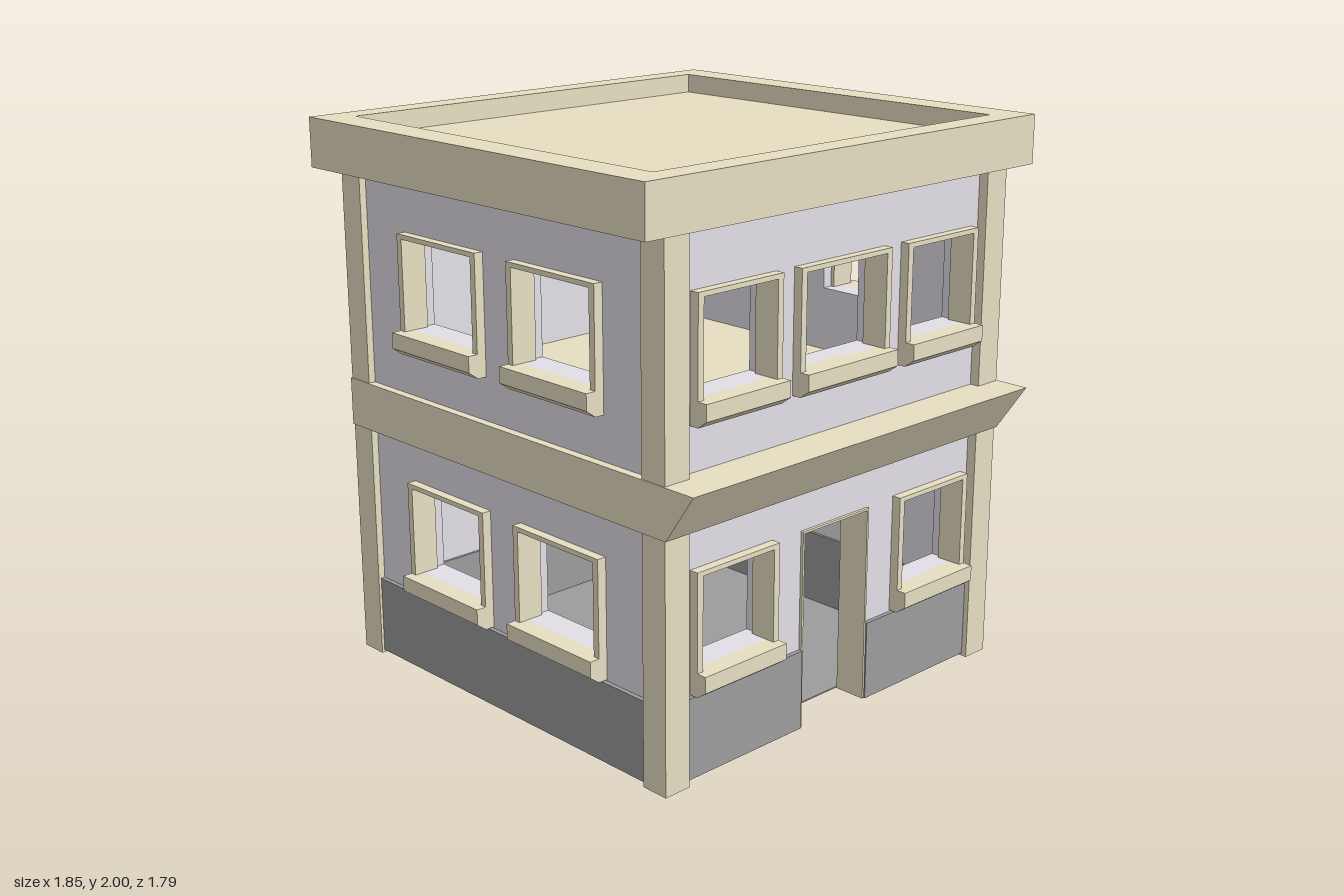
import * as THREE from 'three';

export function createModel() {
  const material = (name, color) => {
    const m = new THREE.MeshStandardMaterial({ color });
    m.name = name;
    return m;
  };
  const stone = material('sandstone trim', 0xe7dfc2);
  const plaster = material('lilac plaster', 0xe3dfe7);
  const grey = material('grey plinth', 0x9d9c9c);

  const model = new THREE.Group();
  model.name = 'building';

  const add = (parent, name, geometry, mat) => {
    const mesh = new THREE.Mesh(geometry, mat);
    mesh.name = name;
    parent.add(mesh);
    return mesh;
  };
  // Box given by its minimum and maximum along each axis
  const box = (parent, name, mat, x0, x1, y0, y1, z0, z1) => {
    const mesh = add(parent, name, new THREE.BoxGeometry(x1 - x0, y1 - y0, z1 - z0), mat);
    mesh.position.set((x0 + x1) / 2, (y0 + y1) / 2, (z0 + z1) / 2);
    return mesh;
  };
  const vectors = (points) => points.map(([x, y]) => new THREE.Vector2(x, y));
  const outline = (points) => new THREE.Shape(vectors(points));
  const hole = (points) => new THREE.Path(vectors(points));
  const rectangle = (x0, x1, y0, y1) => [[x0, y0], [x1, y0], [x1, y1], [x0, y1]];
  // Upright slab from z0 (back) to z1 (front)
  const slab = (shape, z0, z1) =>
    new THREE.ExtrudeGeometry(shape, { depth: z1 - z0, bevelEnabled: false }).translate(0, 0, z0);
  // (z, y) profile drawn out along x, centred
  const bar = (points, length) =>
    new THREE.ExtrudeGeometry(outline(points), { depth: length, bevelEnabled: false })
      .translate(0, 0, -length / 2).rotateY(-Math.PI / 2);

  const CZ = -0.052; // centre of the body in z
  const DOOR = 0.166, DOOR_TOP = 0.724;
  const WALL_OUT = -0.026, WALL_IN = -0.13;

  // Frame and sloped sill around one opening
  function addWindow(parent, [x, width], bottom, top) {
    const g = new THREE.Group();
    g.name = 'window';
    g.position.x = x;
    parent.add(g);
    const w = width / 2, z0 = -0.09, z1 = 0.008;
    for (const s of [-1, 1]) {
      const a = s * w, b = s * (w - 0.025);
      box(g, 'windowJamb', stone, Math.min(a, b), Math.max(a, b), bottom, top, z0, z1);
    }
    box(g, 'windowHead', stone, -w + 0.025, w - 0.025, top - 0.017, top, z0, z1);
    const sill = [[-0.04, -0.084], [0.008, -0.084], [0.045, -0.057], [0.045, 0], [-0.04, 0]];
    add(g, 'windowSill', bar(sill, width), stone).position.y = bottom;
  }

  // One side of the building; local z = 0 is close to the face of the corner pillars
  function addFacade(name, angle, distance, lower, upper, hasDoor) {
    const g = new THREE.Group();
    g.name = name;
    g.rotation.y = angle;
    g.position.set(Math.sin(angle) * distance, 0, CZ + Math.cos(angle) * distance);
    model.add(g);

    const e = 0.76;
    const storeys = [
      { y0: 0.295, y1: 0.9, bottom: 0.386, top: 0.73, windows: lower, door: hasDoor },
      { y0: 1.03, y1: 1.84, bottom: 1.288, top: 1.63, windows: upper, door: false },
    ];
    for (const s of storeys) {
      const points = s.door
        ? [[-e, s.y0], [-DOOR, s.y0], [-DOOR, DOOR_TOP], [DOOR, DOOR_TOP], [DOOR, s.y0],
          [e, s.y0], [e, s.y1], [-e, s.y1]]
        : rectangle(-e, e, s.y0, s.y1);
      const shape = outline(points);
      for (const [x, w] of s.windows) {
        const h = w / 2 - 0.01;
        shape.holes.push(hole(rectangle(x - h, x + h, s.bottom, s.top - 0.008)));
      }
      add(g, 'wall', slab(shape, WALL_IN, WALL_OUT), plaster);
      for (const win of s.windows) addWindow(g, win, s.bottom, s.top);
    }

    // Plinth, broken by the doorway
    const spans = hasDoor ? [[-e, -DOOR], [DOOR, e]] : [[-e, e]];
    for (const [a, b] of spans) box(g, 'plinth', grey, a, b, 0.01, 0.297, -0.14, -0.01);

    // Thin lining of the doorway
    if (hasDoor) {
      const t = 0.008;
      box(g, 'doorJamb', stone, -DOOR, -DOOR + t, 0.01, DOOR_TOP, -0.135, -0.015);
      box(g, 'doorJamb', stone, DOOR - t, DOOR, 0.01, DOOR_TOP, -0.135, -0.015);
      box(g, 'doorHead', stone, -DOOR + t, DOOR - t, DOOR_TOP - t, DOOR_TOP, -0.135, -0.015);
    }
  }

  // Side windows; the right facade is mirrored so both sides line up in z
  const leftWindows = [[-0.303, 0.427], [0.284, 0.427]];
  const rightWindows = leftWindows.map(([x, w]) => [-x, w]);
  const pair = [[-0.491, 0.375], [0.491, 0.375]];
  addFacade('frontFacade', 0, 0.81, pair, [...pair, [0, 0.44]], true);
  addFacade('leftFacade', Math.PI / 2, 0.82, leftWindows, leftWindows, false);
  addFacade('rightFacade', -Math.PI / 2, 0.82, rightWindows, rightWindows, false);
  addFacade('backFacade', Math.PI, 0.82, [], [], false);

  // Corner pillars
  for (const sx of [-1, 1]) for (const sz of [-1, 1]) {
    const x = sx * 0.768, z = CZ + sz * 0.768, h = 0.052;
    box(model, 'cornerPillar', stone, x - h, x + h, 0, 1.835, z - h, z + h);
  }

  // Floors and the canopy over the entrance
  box(model, 'groundFloor', grey, -0.7, 0.7, 0.01, 0.015, -0.75, 0.62);
  box(model, 'storeyBand', stone, -0.825, 0.825, 0.875, 1.05, -0.874, 0.77);
  add(model, 'frontCanopy',
    bar([[0.76, 0.875], [0.775, 0.875], [0.897, 1.05], [0.76, 1.05]], 1.65), stone);

  // Flat roof with a raised rim
  box(model, 'roofSlab', stone, -0.925, 0.925, 1.825, 1.93, -0.897, 0.8);
  const rim = outline(rectangle(-0.925, 0.925, -0.8, 0.897));
  rim.holes.push(hole(rectangle(-0.8, 0.8, -0.7, 0.8)));
  add(model, 'roofRim', slab(rim, 1.93, 2).rotateX(-Math.PI / 2), stone);

  return model;
}
